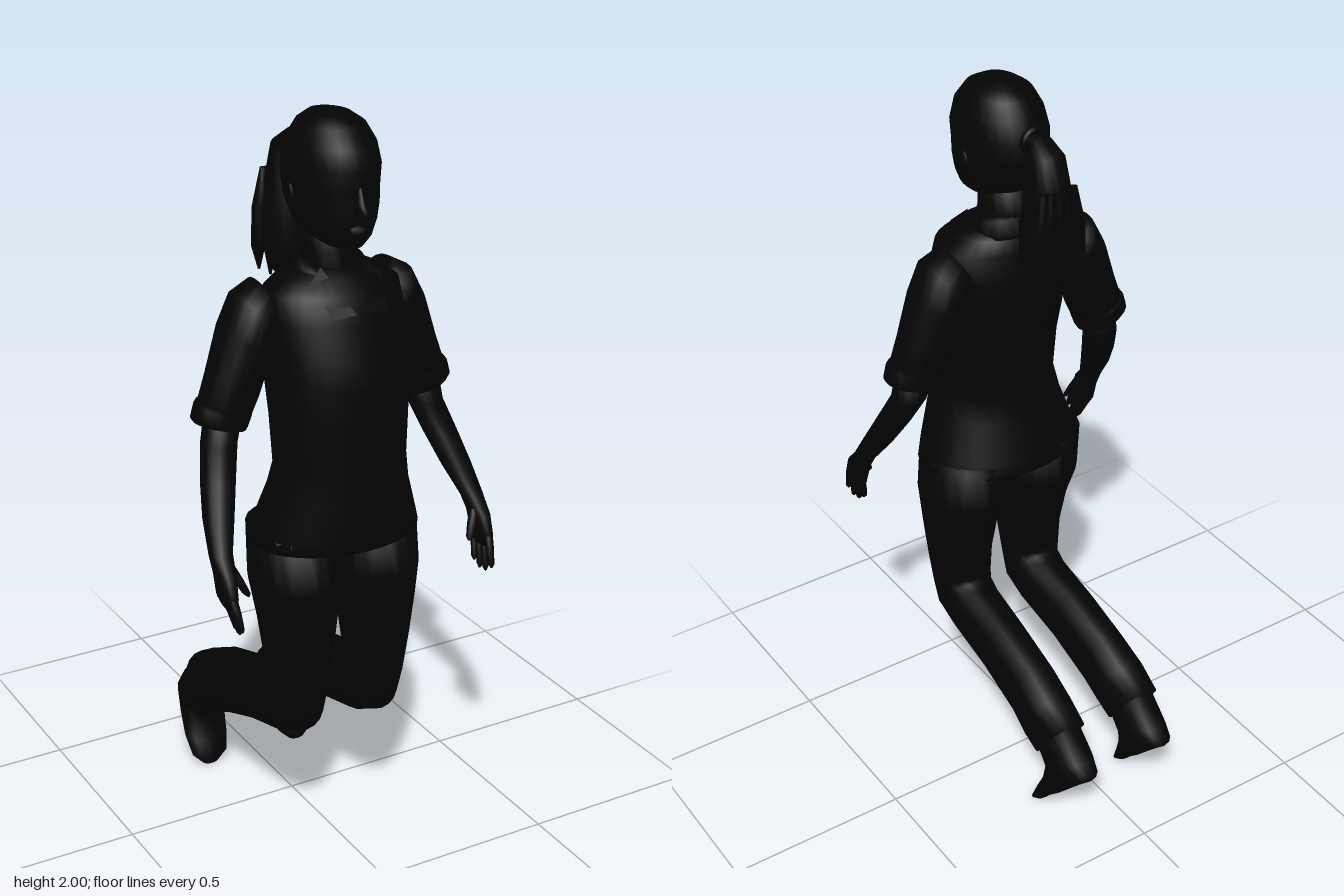
import * as THREE from 'three';

const black = new THREE.MeshStandardMaterial({ color: 0x030303, side: THREE.DoubleSide });
black.name = 'black';

// Skin a closed tube over rings of [x, halfWidth, frontY, frontZ, backY, backZ, roll].
// s = -1 builds the mirrored part.
function loft(name, rings, s = 1, n = 20) {
  const pos = [], idx = [];
  const add = (r, a, k = 1) => {
    const [x, w, yf, zf, yb, zb, roll = 0] = r;
    const c = Math.cos(a) * k, d = Math.sin(a) * k;
    pos.push(s * x + w * c, (yf + yb) / 2 + (yf - yb) / 2 * d + s * roll * c, (zf + zb) / 2 + (zf - zb) / 2 * d);
  };
  for (const r of rings) for (let j = 0; j < n; j++) add(r, j / n * Math.PI * 2);
  const m = rings.length;
  add(rings[0], 0, 0);
  add(rings[m - 1], 0, 0);
  for (let j = 0; j < n; j++) {
    const q = (j + 1) % n, last = (m - 1) * n;
    for (let i = 0; i < m - 1; i++) {
      const a = i * n + j, b = i * n + q;
      idx.push(a, b, a + n, b, b + n, a + n);
    }
    idx.push(m * n, q, j, m * n + 1, last + j, last + q);
  }
  const g = new THREE.BufferGeometry();
  g.setAttribute('position', new THREE.Float32BufferAttribute(pos, 3));
  g.setIndex(idx);
  g.computeVertexNormals();
  const mesh = new THREE.Mesh(g, black);
  mesh.name = name;
  return mesh;
}

// Level ring: half width, height, front z, back z
const level = (w, y, zf, zb, x = 0, roll = 0) => [x, w, y, zf, y, zb, roll];

// Tapered finger between two points
function finger(name, a, b, r, s) {
  const ring = (t, k) => {
    const [x, y, z] = a.map((v, i) => v + (b[i] - v) * t);
    return level(r * k, y, z + r * k, z - r * k, x);
  };
  return loft(name, [ring(0, 1), ring(0.5, 1), ring(0.9, 0.75), ring(1, 0.3)], s, 8);
}

export function createModel() {
  const model = new THREE.Group();
  model.name = 'kneelingFigure';

  // Head, face and neck
  model.add(loft('head', [
    level(0.012, 2.0, 0.2, 0.17), level(0.05, 1.993, 0.25, 0.12), level(0.08, 1.972, 0.29, 0.09),
    level(0.103, 1.93, 0.324, 0.06), level(0.114, 1.88, 0.337, 0.044), level(0.112, 1.83, 0.334, 0.04),
    level(0.107, 1.785, 0.338, 0.05), level(0.097, 1.745, 0.336, 0.075), level(0.08, 1.71, 0.328, 0.11),
    level(0.045, 1.686, 0.315, 0.19),
  ], 1, 28));
  model.add(loft('nose', [
    level(0.008, 1.84, 0.336, 0.3), level(0.012, 1.8, 0.352, 0.3),
    level(0.02, 1.78, 0.366, 0.3), level(0.014, 1.768, 0.35, 0.3),
  ], 1, 10));
  model.add(loft('lips', [
    level(0.018, 1.752, 0.334, 0.3), level(0.028, 1.743, 0.344, 0.3), level(0.028, 1.73, 0.343, 0.3),
    level(0.016, 1.72, 0.332, 0.3),
  ], 1, 10));
  model.add(loft('neck', [
    level(0.068, 1.74, 0.24, 0.085), level(0.068, 1.66, 0.245, 0.09), level(0.08, 1.58, 0.27, 0.08),
  ]));

  // Ponytail with tie and loose tips
  model.add(loft('ponytail', [
    [0, 0.03, 1.865, 0.06, 1.905, 0.06], [0, 0.034, 1.86, 0.02, 1.915, 0.0],
    [0, 0.048, 1.84, 0.02, 1.88, -0.055], [0, 0.058, 1.78, 0.032, 1.79, -0.078],
    [0, 0.068, 1.7, 0.048, 1.7, -0.082], [0, 0.072, 1.61, 0.044, 1.61, -0.072],
    [0, 0.055, 1.56, 0.03, 1.56, -0.064], [0, 0.025, 1.52, -0.01, 1.525, -0.05],
  ]));
  const tie = new THREE.Mesh(new THREE.TorusGeometry(0.028, 0.01, 8, 18), black);
  tie.name = 'hairTie';
  tie.position.set(0, 1.888, 0.04);
  model.add(tie);
  for (let i = -2; i <= 2; i++) {
    const x = i * 0.03, end = 1.5 + Math.abs(i) * 0.02;
    model.add(loft('hairLock', [
      level(0.012, 1.8, -0.06, -0.078, x * 0.7), level(0.016, 1.7, -0.04, -0.088, x),
      level(0.016, 1.6, -0.03, -0.078, x * 1.15), level(0.003, end, -0.05, -0.058, x * 1.1),
    ], 1, 8));
  }

  // Shirt body
  model.add(loft('shirt', [
    level(0.08, 1.625, 0.25, 0.095), level(0.13, 1.603, 0.29, 0.085), level(0.18, 1.57, 0.325, 0.07),
    level(0.19, 1.5, 0.348, 0.06), level(0.187, 1.42, 0.374, 0.052), level(0.188, 1.35, 0.389, 0.066),
    level(0.185, 1.25, 0.388, 0.096), level(0.178, 1.12, 0.39, 0.107), level(0.19, 1.05, 0.392, 0.085),
    level(0.222, 0.95, 0.396, 0.05), level(0.236, 0.91, 0.39, 0.042),
  ], 1, 32));
  model.add(loft('collar', [
    [0, 0.078, 1.61, 0.265, 1.668, 0.1], [0, 0.092, 1.6, 0.29, 1.66, 0.088], [0, 0.112, 1.57, 0.32, 1.61, 0.075],
  ]));

  for (const s of [1, -1]) {
    const side = new THREE.Group();
    side.name = s > 0 ? 'leftSide' : 'rightSide';
    model.add(side);

    // Collar flap
    const flap = new THREE.BufferGeometry();
    flap.setAttribute('position', new THREE.Float32BufferAttribute([
      s * 0.015, 1.53, 0.349, s * 0.075, 1.525, 0.343, s * 0.1, 1.6, 0.27, s * 0.06, 1.63, 0.25,
    ], 3));
    flap.setIndex(s > 0 ? [0, 1, 2, 0, 2, 3] : [0, 2, 1, 0, 3, 2]);
    flap.computeVertexNormals();
    const flapMesh = new THREE.Mesh(flap, black);
    flapMesh.name = 'collarFlap';
    side.add(flapMesh);

    // Ear
    const ear = new THREE.Mesh(new THREE.SphereGeometry(1, 12, 8), black);
    ear.name = 'ear';
    ear.scale.set(0.012, 0.032, 0.02);
    ear.position.set(s * 0.108, 1.805, 0.185);
    side.add(ear);

    // Sleeve and turned-up cuff
    side.add(loft('sleeve', [
      level(0.035, 1.53, 0.23, 0.075, 0.155, 0.065), level(0.045, 1.5, 0.245, 0.068, 0.2, 0.066),
      level(0.06, 1.435, 0.24, 0.075, 0.226, 0.054), level(0.067, 1.335, 0.23, 0.09, 0.259, 0.035),
      level(0.07, 1.24, 0.222, 0.105, 0.297, 0.018),
    ], s));
    side.add(loft('sleeveCuff', [
      level(0.07, 1.285, 0.226, 0.098, 0.283, 0.022), level(0.075, 1.275, 0.229, 0.097, 0.287, 0.021),
      level(0.075, 1.245, 0.226, 0.1, 0.297, 0.018), level(0.069, 1.235, 0.222, 0.106, 0.297, 0.018),
    ], s));

    // Forearm, palm and fingers
    side.add(loft('arm', [
      level(0.05, 1.26, 0.212, 0.12, 0.288), level(0.047, 1.19, 0.217, 0.124, 0.303),
      level(0.045, 1.11, 0.255, 0.165, 0.327), level(0.04, 1.03, 0.295, 0.215, 0.35),
      level(0.03, 0.955, 0.335, 0.272, 0.37), level(0.026, 0.915, 0.372, 0.29, 0.374),
      level(0.022, 0.86, 0.392, 0.305, 0.376), level(0.014, 0.835, 0.388, 0.32, 0.374),
    ], s, 16));
    for (let k = 0; k < 4; k++) {
      const z = 0.318 + k * 0.021;
      side.add(finger('finger', [0.376, 0.865, z], [0.356 + k * 0.004, 0.785 - (k % 3 ? 0.015 : 0), z + 0.03], 0.011, s));
    }
    side.add(finger('thumb', [0.36, 0.93, 0.335], [0.326, 0.855, 0.365], 0.013, s));

    // Trouser leg, bent at the knee
    side.add(loft('trouserLeg', [
      [0.116, 0.112, 0.94, 0.35, 0.94, 0.065], [0.118, 0.117, 0.8, 0.356, 0.8, 0.088],
      [0.117, 0.106, 0.7, 0.345, 0.7, 0.13], [0.116, 0.093, 0.58, 0.329, 0.58, 0.16],
      [0.116, 0.084, 0.46, 0.31, 0.515, 0.162], [0.115, 0.08, 0.37, 0.286, 0.5, 0.164],
      [0.115, 0.076, 0.325, 0.2, 0.488, 0.14], [0.118, 0.072, 0.28, 0.04, 0.458, 0.0],
      [0.12, 0.072, 0.222, -0.11, 0.41, -0.15], [0.123, 0.075, 0.19, -0.17, 0.365, -0.24],
      [0.123, 0.072, 0.168, -0.215, 0.318, -0.318],
    ], s));

    // Shoe with toe pointing down
    side.add(loft('shoe', [
      [0.123, 0.06, 0.2, -0.19, 0.31, -0.31], [0.123, 0.062, 0.165, -0.222, 0.235, -0.385],
      [0.124, 0.06, 0.145, -0.232, 0.195, -0.414], [0.129, 0.064, 0.11, -0.24, 0.145, -0.365],
      [0.136, 0.064, 0.07, -0.228, 0.09, -0.315], [0.141, 0.054, 0.025, -0.212, 0.04, -0.262],
      [0.142, 0.026, 0.0, -0.22, 0.012, -0.24],
    ], s, 16));
  }
  return model;
}
